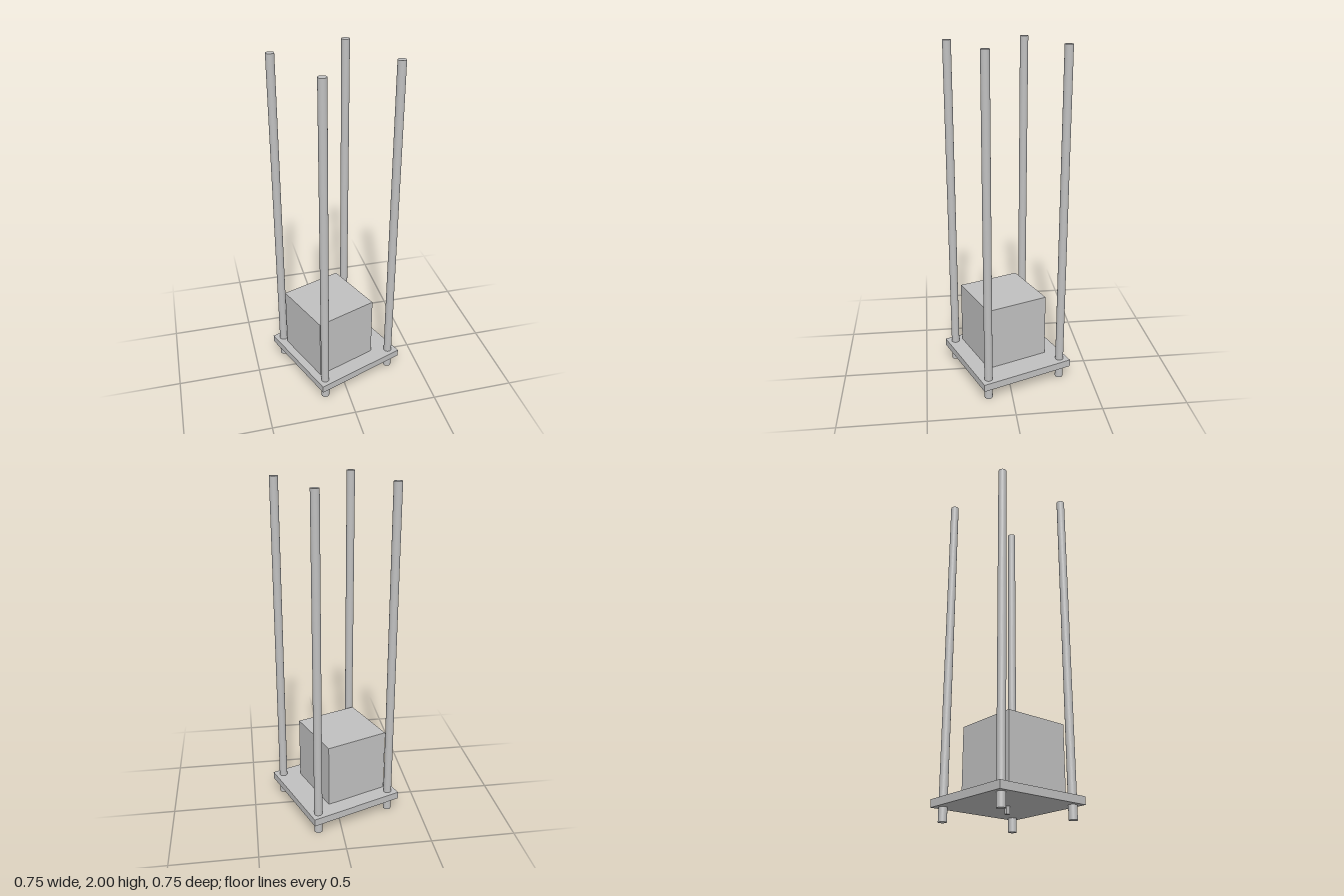
import * as THREE from 'three';

export function createModel() {
  const model = new THREE.Group();
  model.name = 'motorStand';
  const grey = new THREE.MeshStandardMaterial({ color: 0xc0c0c0 });
  grey.name = 'plain grey';

  const add = (name, geometry, x, y, z) => {
    const mesh = new THREE.Mesh(geometry, grey);
    mesh.name = name;
    mesh.position.set(x, y, z);
    model.add(mesh);
    return mesh;
  };

  // Square base plate
  add('basePlate', new THREE.BoxGeometry(0.578, 0.044, 0.578), 0, 0.1, 0);

  // Off-centre block standing on the plate
  add('block', new THREE.BoxGeometry(0.386, 0.384, 0.386), -0.049, 0.314, 0);

  // Four tall rods running through the plate corners
  const rod = new THREE.CylinderGeometry(0.024, 0.024, 2, 32);
  for (const x of [-1, 1]) {
    for (const z of [-1, 1]) add('rod', rod, x * 0.241, 1, z * 0.241);
  }

  // Short D-shaped shaft below the plate, flat towards -x
  const profile = new THREE.Shape();
  profile.absarc(0, 0, 0.015, -Math.PI * 0.7, Math.PI * 0.7, false);
  profile.closePath();
  const shaft = new THREE.ExtrudeGeometry(profile, { depth: 0.05, bevelEnabled: false, curveSegments: 20 });
  shaft.rotateX(-Math.PI / 2);
  add('shaft', shaft, 0, 0.036, 0);

  // The whole stand is turned about the vertical axis
  model.rotation.y = THREE.MathUtils.degToRad(20.9);
  const root = new THREE.Group();
  root.name = 'stand';
  root.add(model);
  return root;
}
